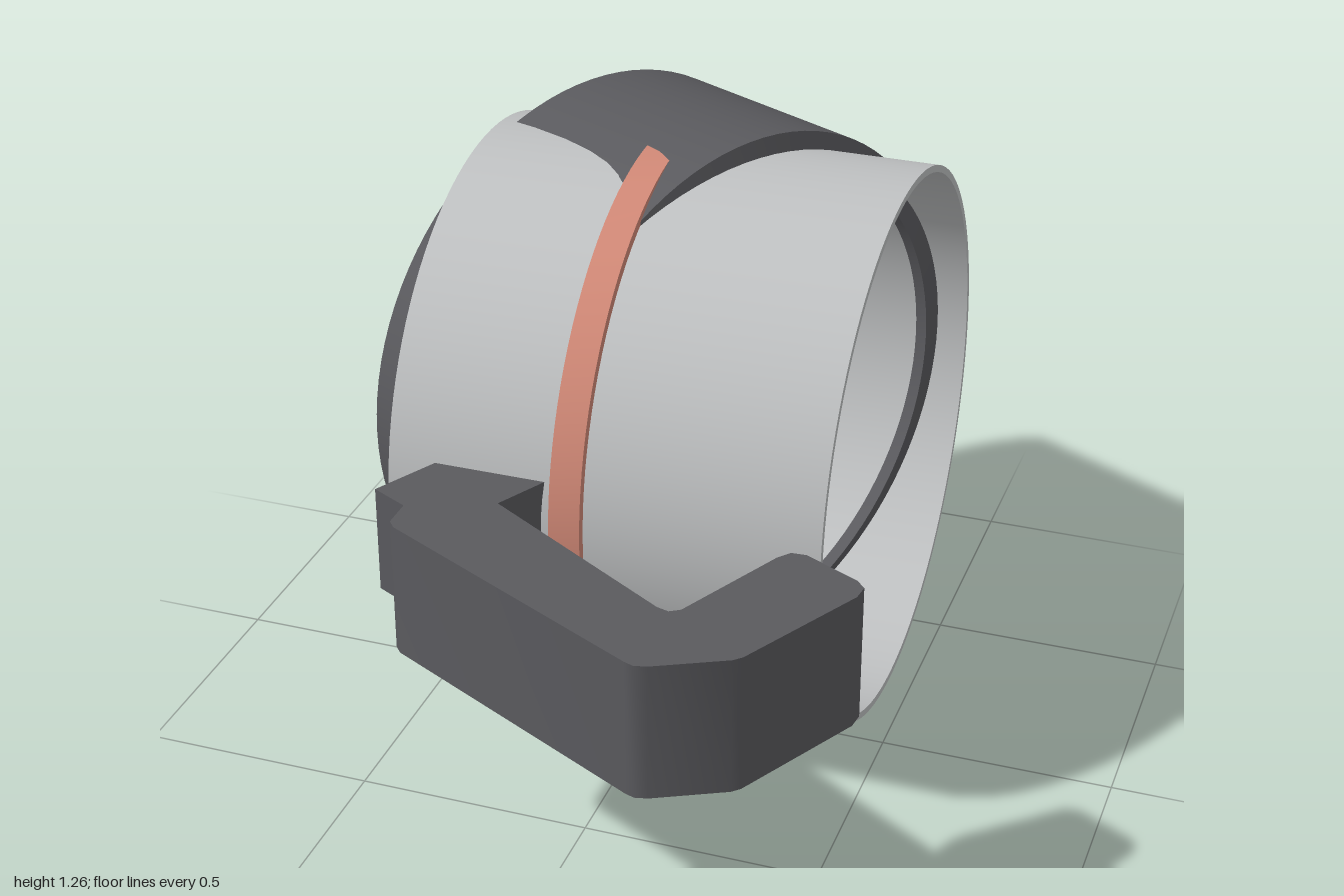
import * as THREE from 'three';
import { toCreasedNormals } from 'three/addons/utils/BufferGeometryUtils.js';

const CY = 0.63;      // height of every axis
const CZ = -0.19;     // depth of the straight pipe axis
const TILT = -0.472;  // yaw of the tilted housing

function material(name, color, side = THREE.FrontSide) {
  const m = new THREE.MeshStandardMaterial({ color, side });
  m.name = name;
  return m;
}

// Revolve [radius, distance along x] pairs around the x axis
function turned(profile) {
  const points = profile.map(([r, a]) => new THREE.Vector2(r, a));
  const g = new THREE.LatheGeometry(points, 96);
  g.rotateZ(-Math.PI / 2);
  return toCreasedNormals(g, 0.5);
}

export function createModel() {
  const model = new THREE.Group();
  model.name = 'pipeFitting';
  const grey = material('light grey', 0xbfc1c2);
  const dark = material('dark grey', 0x5a5a5e);
  const salmon = material('salmon', 0xd08876);
  const blue = material('blue', 0x72a8d0);

  const add = (name, geometry, mat, x = 0, y = 0, z = 0) => {
    const mesh = new THREE.Mesh(geometry, mat);
    mesh.name = name;
    mesh.position.set(x, y, z);
    model.add(mesh);
    return mesh;
  };

  // Straight thin-walled pipe, closed at one end
  add('pipe', turned([
    [0, -0.453], [0.595, -0.453], [0.595, 0.46], [0.58, 0.46], [0.58, -0.438], [0, -0.438],
  ]), grey, 0, CY, CZ);

  // Tilted cup with a tapered lip, passing through the pipe
  add('tiltedHousing', turned([
    [0, 0], [0.63, 0], [0.63, 0.483], [0.553, 0.51], [0.553, 0.48], [0.6, 0.455], [0.6, 0.02], [0, 0.02],
  ]), dark, -0.322, CY, -0.44).rotation.y = TILT;

  // Tray-shaped disc whose rim stands proud of the pipe
  add('disc', turned([
    [0, -0.098], [0.615, -0.098], [0.615, -0.032], [0.555, -0.032], [0.555, -0.08], [0, -0.08],
  ]), salmon, 0, CY, CZ);

  // Ring and small plate on the disc
  const ring = new THREE.TorusGeometry(0.36, 0.04, 20, 80);
  ring.rotateY(Math.PI / 2);
  add('sealRing', ring, blue, -0.075, CY, CZ);
  add('discPlate', new THREE.BoxGeometry(0.009, 0.05, 0.23), salmon, -0.077, CY, CZ);

  // Short arm joining the handle to the housing
  add('handleArm', new THREE.BoxGeometry(0.21, 0.23, 0.4), dark, -0.237, CY, 0.4).rotation.y = TILT;

  // Hooked handle, outlined in x and z
  const outline = [
    [-0.32, 0.58], [-0.305, 0.558], [-0.245, 0.52], [-0.222, 0.512], [-0.2, 0.52],
    [0.265, 0.803], [0.29, 0.81], [0.31, 0.797], [0.42, 0.565], [0.44, 0.54], [0.47, 0.538],
    [0.585, 0.595], [0.604, 0.615], [0.6, 0.65], [0.465, 0.91], [0.45, 0.925],
    [0.315, 0.994], [0.29, 1], [0.27, 0.993], [-0.305, 0.7], [-0.32, 0.682],
  ];
  const shape = new THREE.Shape(outline.map(([x, z]) => new THREE.Vector2(x, z)));
  const handle = new THREE.ExtrudeGeometry(shape, { depth: 0.285, bevelEnabled: false });
  handle.rotateX(Math.PI / 2);
  add('handle', toCreasedNormals(handle, 0.7), dark, 0, 0.775, 0);

  return model;
}
